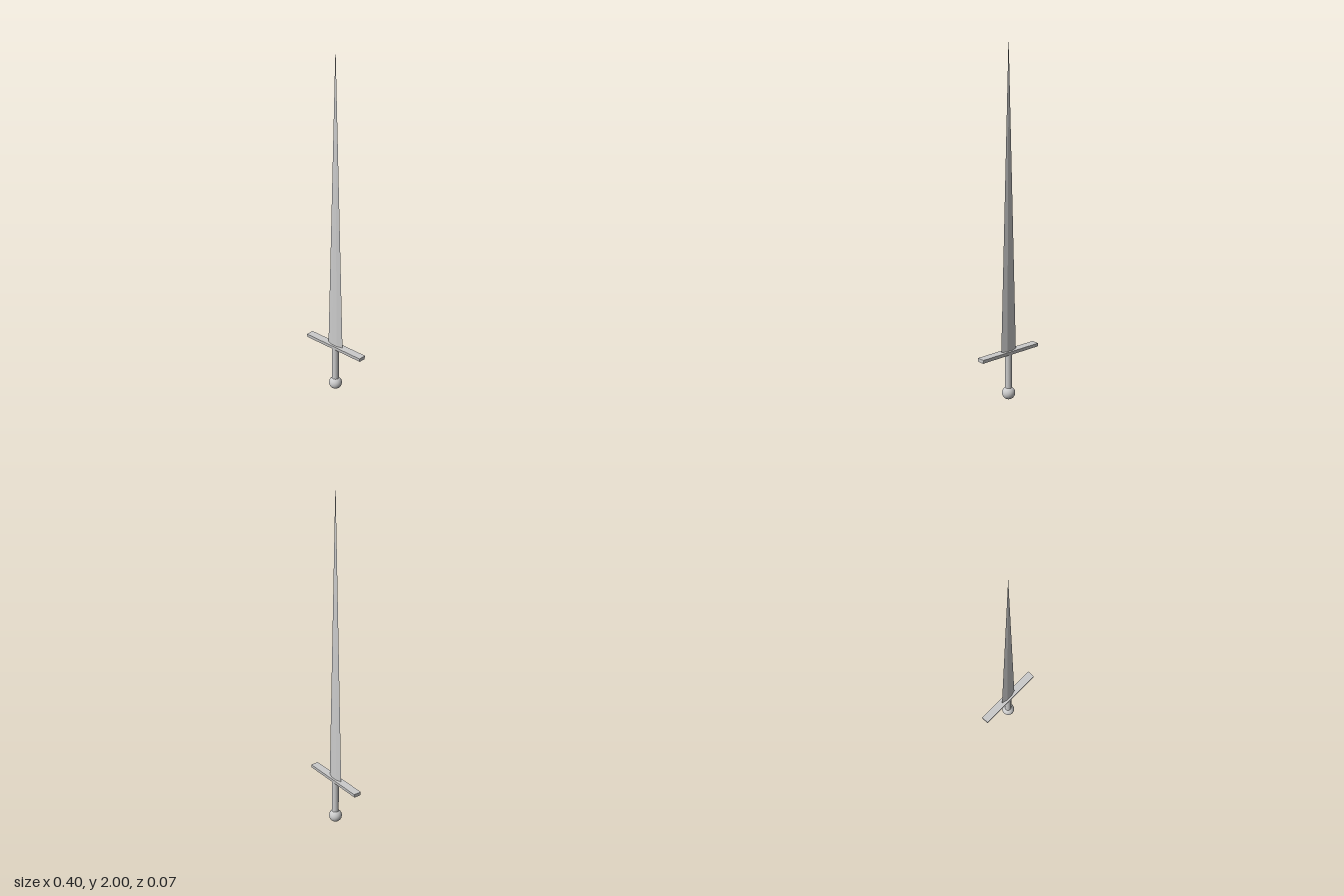
import * as THREE from 'three';

const smooth = new THREE.MeshStandardMaterial({ color: 0xcccccc });
const faceted = new THREE.MeshStandardMaterial({ color: 0xcccccc, flatShading: true });

function addPart(group, name, geometry, y, material) {
  const mesh = new THREE.Mesh(geometry, material);
  mesh.name = name;
  mesh.position.y = y;
  group.add(mesh);
}

// Six-sided tapering blade: sharp edges at +-x, a narrow flat on each face
function bladeGeometry(height, halfWidth, halfFlat, halfDepth) {
  const geometry = new THREE.ConeGeometry(1, height, 6, 1).rotateY(Math.PI / 6);
  const p = geometry.attributes.position;
  for (let i = 0; i < p.count; i++) {
    const x = p.getX(i), z = p.getZ(i);
    const onFlat = Math.abs(z) > 0.1;
    p.setX(i, onFlat ? Math.sign(x) * halfFlat : x * halfWidth);
    p.setZ(i, onFlat ? Math.sign(z) * halfDepth : 0);
  }
  geometry.computeVertexNormals();
  return geometry;
}

// Crossguard bar, slightly narrower underneath
function guardGeometry(width, height, topDepth, bottomDepth) {
  const geometry = new THREE.BoxGeometry(width, height, topDepth);
  const p = geometry.attributes.position;
  for (let i = 0; i < p.count; i++) {
    if (p.getY(i) < 0) p.setZ(i, Math.sign(p.getZ(i)) * bottomDepth / 2);
  }
  geometry.computeVertexNormals();
  return geometry;
}

export function createModel() {
  const sword = new THREE.Group();
  sword.name = 'sword';

  const guardTop = 0.286, guardHeight = 0.02, pommelRadius = 0.037;
  const bladeHeight = 2 - guardTop;
  const gripBottom = pommelRadius, gripHeight = guardTop - guardHeight - gripBottom;

  addPart(sword, 'pommel', new THREE.SphereGeometry(pommelRadius, 32, 16), pommelRadius, smooth);
  addPart(sword, 'grip', new THREE.CylinderGeometry(0.019, 0.019, gripHeight, 24),
    gripBottom + gripHeight / 2, smooth);
  addPart(sword, 'crossguard', guardGeometry(0.4, guardHeight, 0.046, 0.04),
    guardTop - guardHeight / 2, faceted);
  addPart(sword, 'blade', bladeGeometry(bladeHeight, 0.053, 0.018, 0.011),
    guardTop + bladeHeight / 2, faceted);

  return sword;
}
